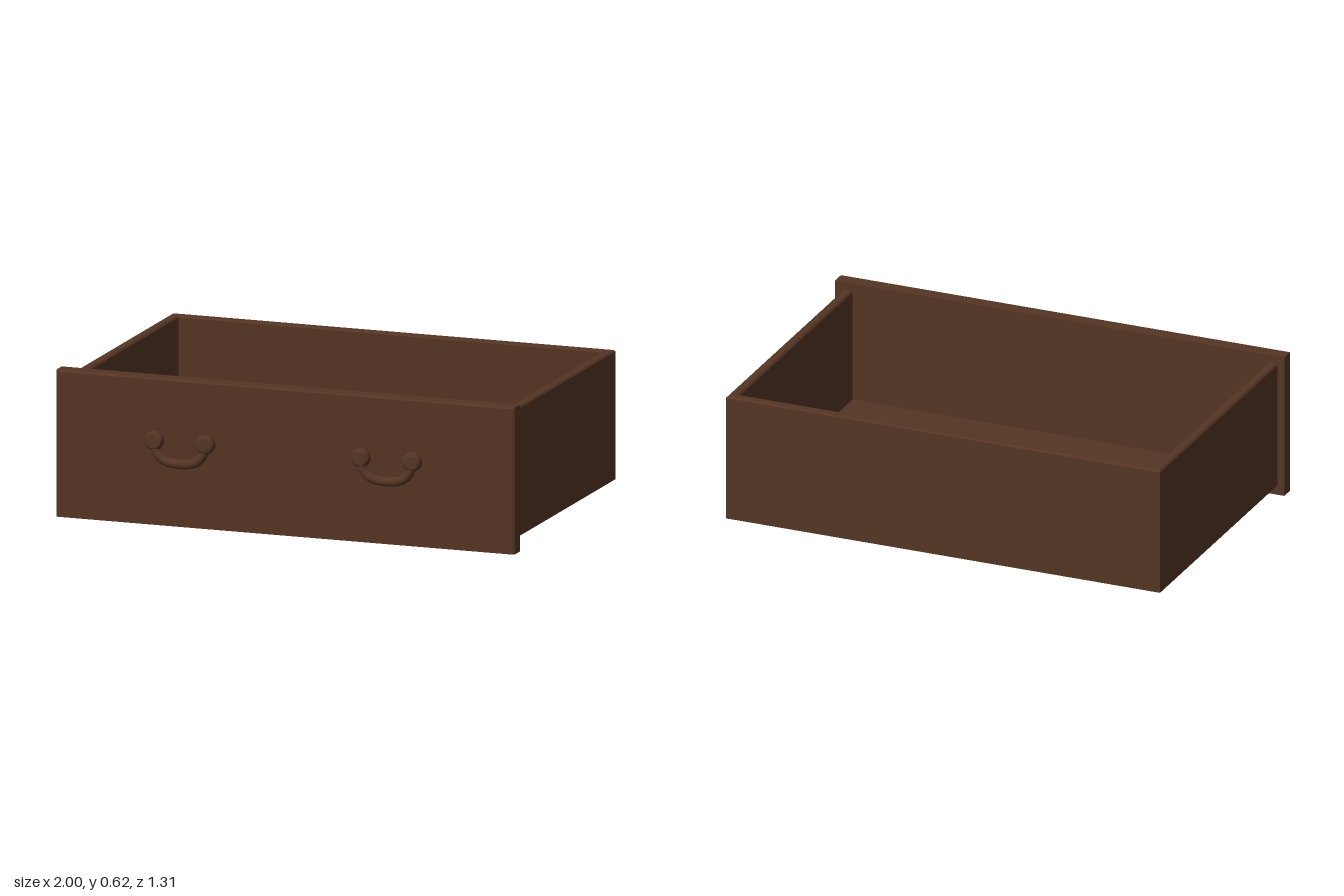
import * as THREE from 'three';

const BEVEL = 0.007;

export function createModel() {
  const drawer = new THREE.Group();
  drawer.name = 'drawer';
  const wood = new THREE.MeshStandardMaterial({ color: 0x543524 });
  wood.name = 'dark brown wood';

  const add = (name, geometry, parent = drawer) => {
    const mesh = new THREE.Mesh(geometry, wood);
    mesh.name = name;
    parent.add(mesh);
    return mesh;
  };

  // Front panel: box whose front rim is chamfered at the top and sides
  const w = 2, h = 0.615, d = 0.068;
  let panel = new THREE.BoxGeometry(w, h, d, 1, 1, 2);
  const p = panel.attributes.position;
  for (let i = 0; i < p.count; i++) {
    if (p.getZ(i) > d / 2 - 0.001) {
      p.setX(i, Math.sign(p.getX(i)) * (w / 2 - BEVEL));
      if (p.getY(i) > 0) p.setY(i, h / 2 - BEVEL);
    } else if (Math.abs(p.getZ(i)) < 0.001) {
      p.setZ(i, d / 2 - BEVEL);
    }
  }
  panel = panel.toNonIndexed();
  panel.computeVertexNormals();
  add('frontPanel', panel).position.set(0, h / 2, 0.555 + d / 2);

  // Bottom board
  const left = -0.97, right = 0.963, back = -0.653, front = 0.555;
  const floorBase = 0.042, floorTop = 0.1;
  add('bottomBoard', new THREE.BoxGeometry(right - left, floorTop - floorBase, front - back))
    .position.set((left + right) / 2, (floorBase + floorTop) / 2, (front + back) / 2);

  // Two sides and the back as one U-shaped wall with a chamfered rim
  const t = 0.042, end = front + 0.02;
  const outline = [
    [left, -end], [left + t, -end], [left + t, -back - t], [right - t, -back - t],
    [right - t, -end], [right, -end], [right, -back], [left, -back],
  ];
  const wallShape = new THREE.Shape(outline.map(([x, y]) => new THREE.Vector2(x, y)));
  const wallBase = 0.09, wallTop = 0.584;
  const walls = new THREE.ExtrudeGeometry(wallShape, {
    depth: wallTop - wallBase - 2 * BEVEL,
    bevelEnabled: true, bevelSegments: 1,
    bevelSize: BEVEL, bevelThickness: BEVEL, bevelOffset: -BEVEL,
  });
  walls.rotateX(-Math.PI / 2);
  add('sideAndBackWalls', walls).position.y = wallBase + BEVEL;

  // Rounded knob profile, turned to face forward
  const profile = [new THREE.Vector2(0.04, -0.005)];
  for (let i = 0; i <= 8; i++) {
    const a = (i / 8) * Math.PI / 2;
    profile.push(new THREE.Vector2(0.024 + 0.016 * Math.cos(a), 0.015 + 0.016 * Math.sin(a)));
  }
  profile.push(new THREE.Vector2(0, 0.031));
  const knob = new THREE.LatheGeometry(profile, 28);
  knob.rotateX(Math.PI / 2);

  // Drooping bail between the knobs
  const half = [[0.112, 0.35], [0.103, 0.312], [0.075, 0.28], [0.035, 0.267]];
  const points = [
    ...half.map(([x, y]) => [-x, y]),
    ...half.slice().reverse(),
  ].map(([x, y]) => new THREE.Vector3(x, y, 0.01));
  const bail = new THREE.TubeGeometry(new THREE.CatmullRomCurve3(points), 36, 0.0195, 14);

  for (const [name, x] of [['rightHandle', -0.456], ['leftHandle', 0.446]]) {
    const handle = new THREE.Group();
    handle.name = name;
    handle.position.set(x, 0, 0.555 + d);
    for (const s of [-1, 1]) add('handleKnob', knob, handle).position.set(s * 0.112, 0.356, 0);
    add('handleBail', bail, handle);
    drawer.add(handle);
  }

  return drawer;
}
